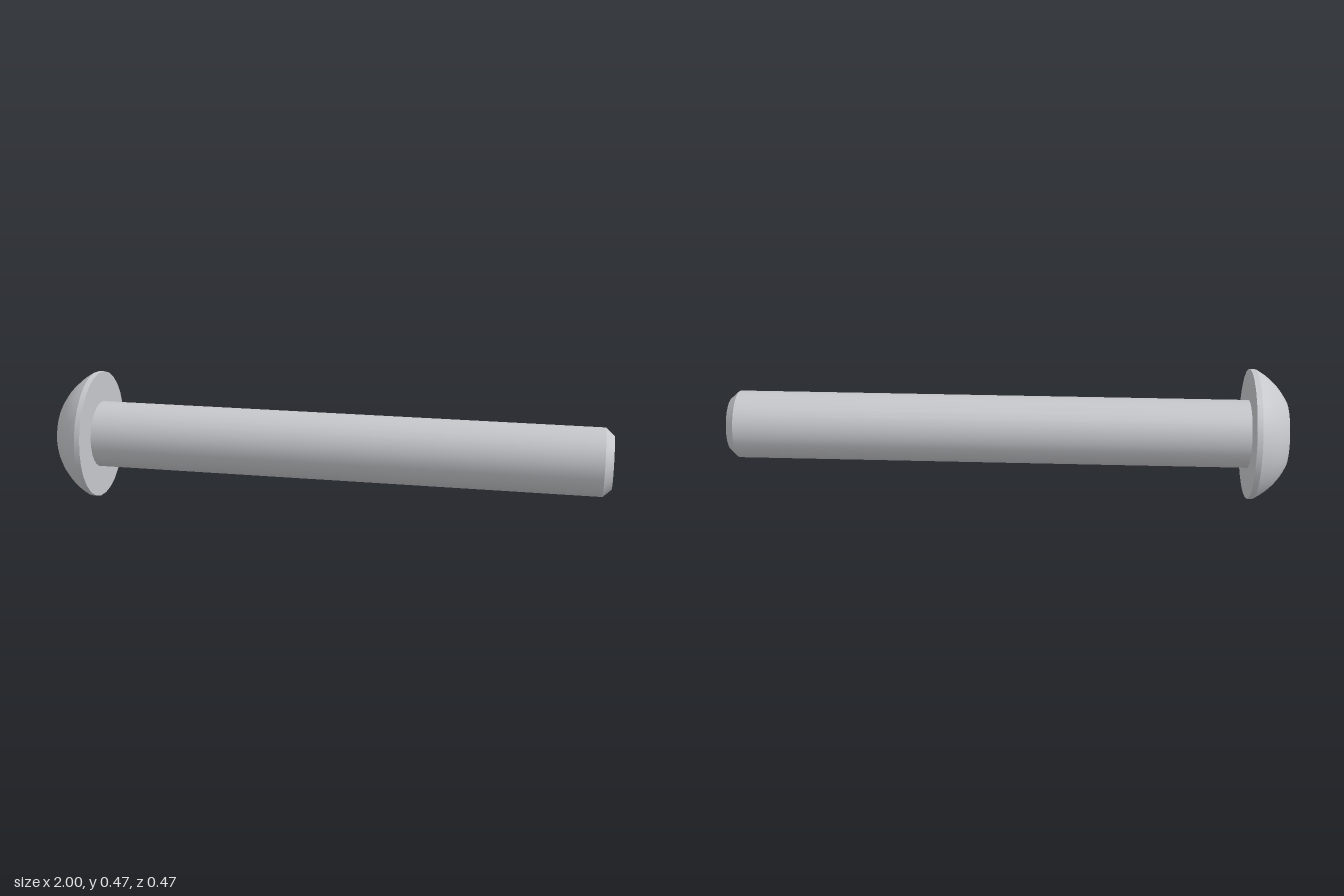
import * as THREE from 'three';

const R_HEAD = 0.2335, R_SHAFT = 0.122, R_TIP = 0.095, R_HEX = 0.085;
const X_FACE = -1, X_RIM = -0.89, X_UNDER = -0.87, X_CHAMFER = 0.97, X_TIP = 1;
const SOCKET_FLOOR = -0.92;

// Turn a profile of [x along the axis, radius] points around the x axis
function turned(points, segments = 28, phase = 0) {
  const profile = points.map(([x, r]) => new THREE.Vector2(r, x));
  return new THREE.LatheGeometry(profile, segments, phase).rotateZ(-Math.PI / 2);
}

export function createModel() {
  const model = new THREE.Group();
  model.name = 'buttonHeadBolt';
  const steel = new THREE.MeshStandardMaterial({ color: 0xc6c7cb });
  steel.name = 'steel';

  const bolt = new THREE.Group();
  bolt.name = 'bolt';
  bolt.position.y = R_HEAD;
  model.add(bolt);
  const add = (name, geometry) => {
    const mesh = new THREE.Mesh(geometry, steel);
    mesh.name = name;
    bolt.add(mesh);
  };

  // Domed head: spherical arc between the flat face and the rim
  const centre = -0.766, radius = 0.264;
  const a0 = Math.asin(R_SHAFT / radius), a1 = Math.asin(R_HEAD / radius);
  const dome = [];
  for (let i = 0; i <= 8; i++) {
    const a = a0 + (a1 - a0) * i / 8;
    dome.push([centre - radius * Math.cos(a), radius * Math.sin(a)]);
  }
  dome[0][0] = X_FACE;
  dome[8][0] = X_RIM;
  add('headDome', turned(dome));
  add('headRim', turned([[X_RIM, R_HEAD], [X_UNDER, R_HEAD]]));
  add('headUnderside', turned([[X_UNDER, R_HEAD], [X_UNDER, R_SHAFT]]));

  // Flat head face with a hexagonal opening
  const ring = (r, n, phase) => Array.from({ length: n }, (_, i) => {
    const a = phase + i * 2 * Math.PI / n;
    return new THREE.Vector2(r * Math.cos(a), r * Math.sin(a));
  });
  const face = new THREE.Shape(ring(R_SHAFT, 28, 0));
  face.holes.push(new THREE.Path(ring(R_HEX, 6, Math.PI / 6).reverse()));
  add('headFace', new THREE.ShapeGeometry(face).rotateY(-Math.PI / 2).translate(X_FACE, 0, 0));

  // Hex socket: floor and six flat walls facing inwards
  const socket = turned([[SOCKET_FLOOR, 0], [SOCKET_FLOOR, R_HEX], [X_FACE, R_HEX]], 6, Math.PI / 6).toNonIndexed();
  socket.computeVertexNormals();
  add('hexSocket', socket);

  // Shaft, chamfer and flat tip
  add('shaft', turned([[X_UNDER, R_SHAFT], [X_CHAMFER, R_SHAFT]]));
  add('tipChamfer', turned([[X_CHAMFER, R_SHAFT], [X_TIP, R_TIP]]));
  add('tipFace', turned([[X_TIP, R_TIP], [X_TIP, 0]]));

  return model;
}
